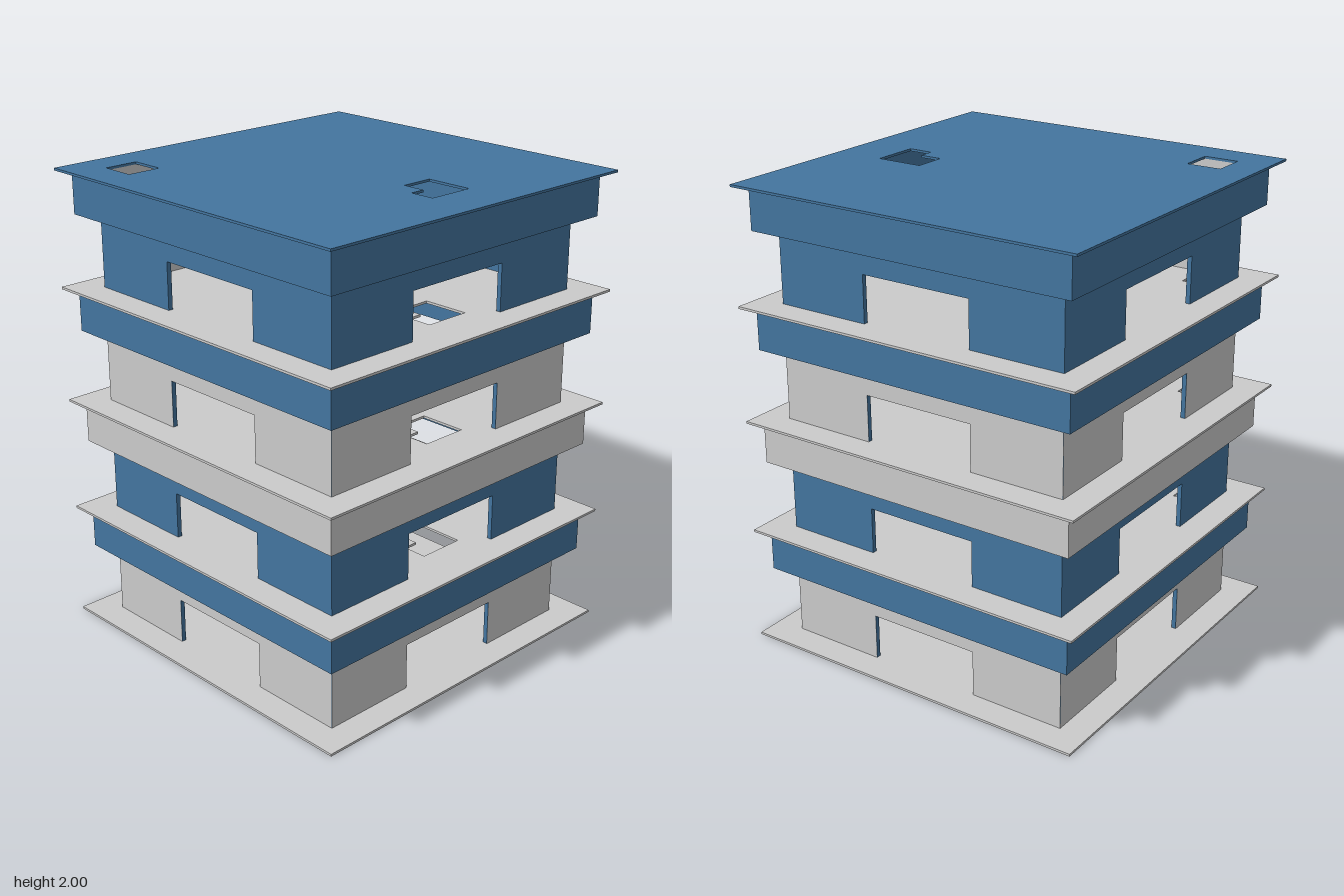
import * as THREE from 'three';

const grey = new THREE.MeshStandardMaterial({ color: 0xcccccc });
const blue = new THREE.MeshStandardMaterial({ color: 0x43759f });

const PITCH = 0.4975;  // floor to floor
const SLAB = 0.01;     // slab thickness
const WALL = 0.02;     // wall and fascia thickness
const FASCIA = 0.18;   // fascia height
const DOOR = { half: 0.25, height: 0.2 };

const polygon = (points) => new THREE.Shape(points.map(([x, y]) => new THREE.Vector2(x, y)));

function addMesh(parent, name, geometry, material) {
  const mesh = new THREE.Mesh(geometry, material);
  mesh.name = name;
  parent.add(mesh);
  return mesh;
}

// Upright panel outline, optionally with a doorway cut from the bottom edge
function panelShape(half, height, door) {
  const gap = door
    ? [[-DOOR.half, 0], [-DOOR.half, DOOR.height], [DOOR.half, DOOR.height], [DOOR.half, 0]]
    : [];
  return polygon([[-half, 0], ...gap, [half, 0], [half, height], [-half, height]]);
}

// Four panels around a square: front, right, back, left
function panelRing(name, half, height, outer, core, door) {
  const ring = new THREE.Group();
  ring.name = name;
  for (let i = 0; i < 4; i++) {
    const side = new THREE.Group();
    side.name = name + 'Side';
    side.rotation.y = i * Math.PI / 2;
    const coreHalf = i % 2 ? half - WALL : half;
    const body = new THREE.ExtrudeGeometry(panelShape(coreHalf, height, door),
      { depth: WALL, bevelEnabled: false });
    addMesh(side, name + 'Panel', body, core).position.z = half - WALL;

    // thin outer facing where its colour differs from the core
    if (outer !== core) {
      addMesh(side, name + 'Facing', new THREE.ShapeGeometry(panelShape(half, height, door)), outer)
        .position.z = half + 0.001;
    }
    // grey inner lining on the two walls beside the service shaft
    if (door && (i === 0 || i === 3)) {
      const lining = addMesh(side, name + 'Lining',
        new THREE.ShapeGeometry(panelShape(half - WALL, height, door)), grey);
      lining.position.z = half - WALL - 0.001;
      lining.rotation.y = Math.PI;
    }
    ring.add(side);
  }
  return ring;
}

// Floor plate drawn in plan (shape y is -z), with stair and shaft openings
function slab(name, open, material) {
  const h = 0.795;
  const plan = polygon([[-h, -h], [h, -h], [h, h], [-h, h]]);
  if (open) {
    plan.holes.push(
      polygon([[0.375, 0.145], [0.58, 0.145], [0.58, -0.06], [0.473, -0.06], [0.473, 0.005], [0.375, 0.005]]),
      polygon([[-0.65, -0.495], [-0.5, -0.495], [-0.5, -0.645], [-0.65, -0.645]]));
  }
  const geometry = new THREE.ExtrudeGeometry(plan, { depth: SLAB, bevelEnabled: false });
  geometry.rotateX(-Math.PI / 2);
  const mesh = new THREE.Mesh(geometry, material);
  mesh.name = name;
  return mesh;
}

export function createModel() {
  const model = new THREE.Group();
  model.name = 'building';
  const wallColours = [grey, blue, grey, blue];
  const fasciaColours = [blue, grey, blue, blue];

  // Ground slab, three floors and the roof
  for (let i = 0; i <= 4; i++) {
    const name = i === 0 ? 'groundSlab' : i === 4 ? 'roof' : 'floorSlab';
    const plate = slab(name, i > 0, i === 4 ? blue : grey);
    plate.position.y = i * PITCH;
    model.add(plate);
  }

  // Storeys: walls with a doorway on each side, and a fascia hung below the next slab
  for (let i = 0; i < 4; i++) {
    const walls = panelRing('wall', 0.67, PITCH - SLAB, wallColours[i], blue, true);
    walls.position.y = i * PITCH + SLAB;
    const fascia = panelRing('fascia', 0.745, FASCIA, fasciaColours[i], fasciaColours[i], false);
    fascia.position.y = (i + 1) * PITCH - FASCIA;
    model.add(walls, fascia);
  }
  return model;
}
